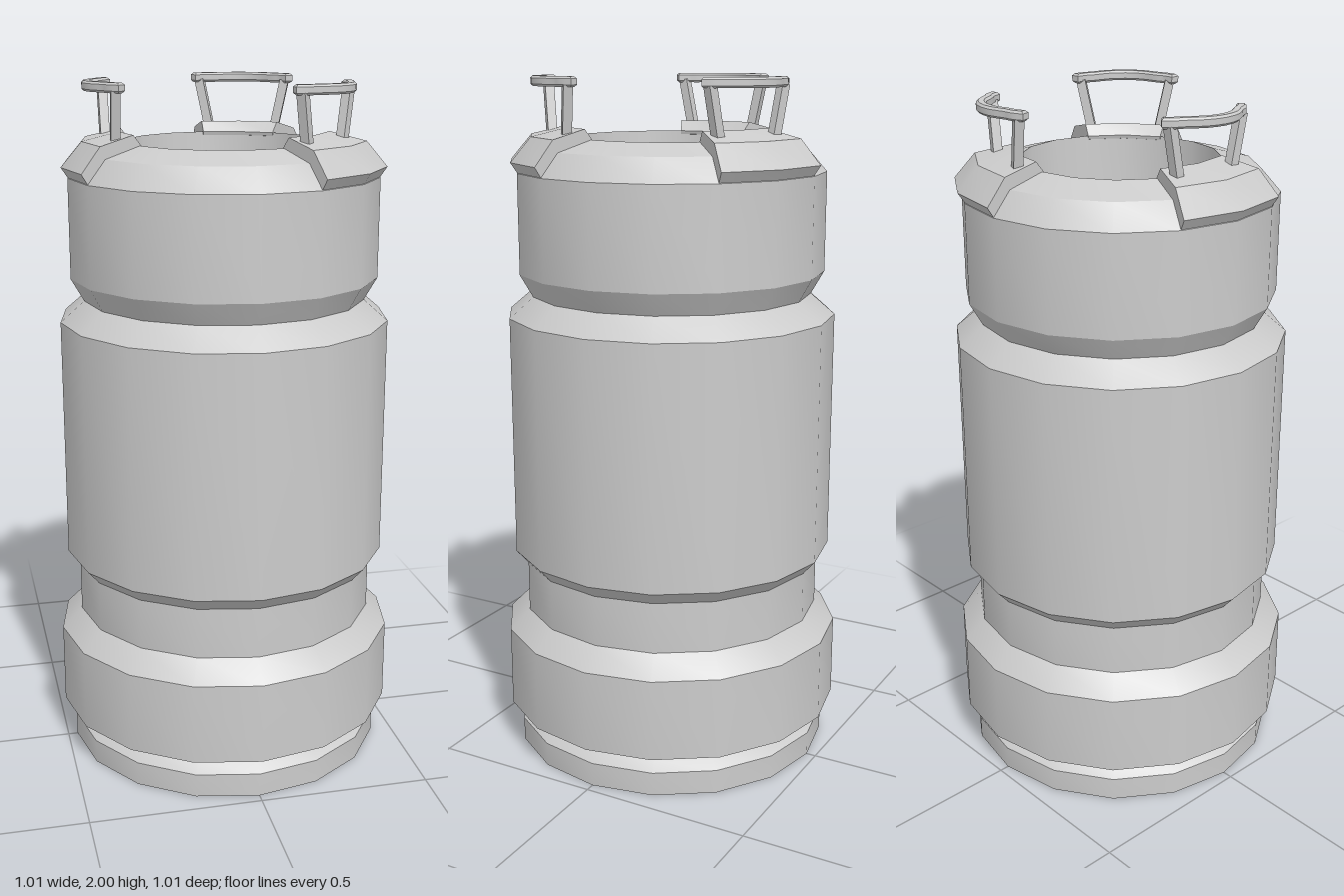
import * as THREE from 'three';
import { toCreasedNormals } from 'three/addons/utils/BufferGeometryUtils.js';

const SIDES = 16;
const STEP = (Math.PI * 2) / SIDES;
const material = new THREE.MeshStandardMaterial({ color: 0xcccccc });
const doubleSided = new THREE.MeshStandardMaterial({ color: 0xcccccc, side: THREE.DoubleSide });
const points = (list) => list.map(([x, y]) => new THREE.Vector2(x, y));

function part(name, geometry, mat = material) {
  const mesh = new THREE.Mesh(geometry, mat);
  mesh.name = name;
  return mesh;
}

// Straight square bar between two points
function strut(name, a, b, width) {
  const mesh = part(name, new THREE.BoxGeometry(width, width, a.distanceTo(b)));
  mesh.position.copy(a).add(b).multiplyScalar(0.5);
  mesh.lookAt(b);
  return mesh;
}

// Canister shell: ribbed outside, bevelled shoulder and open well
function canister() {
  const profile = points([
    [0, 0], [0.472, 0], [0.472, 0.07], [0.44, 0.095], [0.44, 0.11],
    [0.505, 0.13], [0.505, 0.37], [0.445, 0.43], [0.445, 0.58],
    [0.48, 0.62], [0.48, 1.325], [0.41, 1.385], [0.447, 1.45],
    [0.447, 1.735], [0.39, 1.8], [0.28, 1.83], [0.265, 1.38], [0, 1.38],
  ]);
  return part('canister', toCreasedNormals(new THREE.LatheGeometry(profile, SIDES), 0.42));
}

// Handle bar: a bowed strip in plan, extruded upwards with a small bevel
function gripBar() {
  const curve = new THREE.CatmullRomCurve3([
    [-0.142, 0.315], [-0.12, 0.335], [-0.098, 0.345], [-0.055, 0.374], [0, 0.386],
    [0.055, 0.374], [0.098, 0.345], [0.12, 0.335], [0.142, 0.315],
  ].map(([x, z]) => new THREE.Vector3(x, -z, 0)));
  const near = [], far = [];
  for (let i = 0; i <= 16; i++) {
    const p = curve.getPoint(i / 16), t = curve.getTangent(i / 16);
    near.push(new THREE.Vector2(p.x + t.y * 0.008, p.y - t.x * 0.008));
    far.unshift(new THREE.Vector2(p.x - t.y * 0.008, p.y + t.x * 0.008));
  }
  const geometry = new THREE.ExtrudeGeometry(new THREE.Shape([...near, ...far]), {
    depth: 0.016, bevelEnabled: true, bevelSize: 0.006, bevelThickness: 0.006, bevelSegments: 1,
  });
  geometry.rotateX(-Math.PI / 2).translate(0, 1.978, 0);
  return part('gripBar', toCreasedNormals(geometry, 0.6));
}

// Shoulder bracket two facets wide, carrying one handle; faces +z
function handleUnit() {
  const unit = new THREE.Group();
  unit.name = 'handleUnit';
  const section = points([
    [0.445, 1.735], [0.465, 1.765], [0.405, 1.835], [0.3, 1.86],
    [0.275, 1.83], [0.278, 1.82], [0.385, 1.79],
  ]);
  const shell = new THREE.LatheGeometry([...section, section[0].clone()], 2, -STEP, STEP * 2);
  unit.add(part('bracket', toCreasedNormals(shell, 0.42)));

  for (const side of [-1, 1]) {
    const cap = part('bracketEnd', new THREE.ShapeGeometry(new THREE.Shape(section)), doubleSided);
    cap.rotation.y = side * STEP - Math.PI / 2;
    unit.add(cap);
    unit.add(strut('handleLeg',
      new THREE.Vector3(side * 0.1, 1.84, 0.325),
      new THREE.Vector3(side * 0.13, 1.98, 0.326), 0.026));
  }
  unit.add(gripBar());
  return unit;
}

export function createModel() {
  const model = new THREE.Group();
  model.name = 'handledCanister';
  model.add(canister());

  // Three handles, each lined up with a corner of the body
  for (const corner of [-4, 2, 7]) {
    const unit = handleUnit();
    unit.rotation.y = corner * STEP;
    model.add(unit);
  }
  return model;
}
